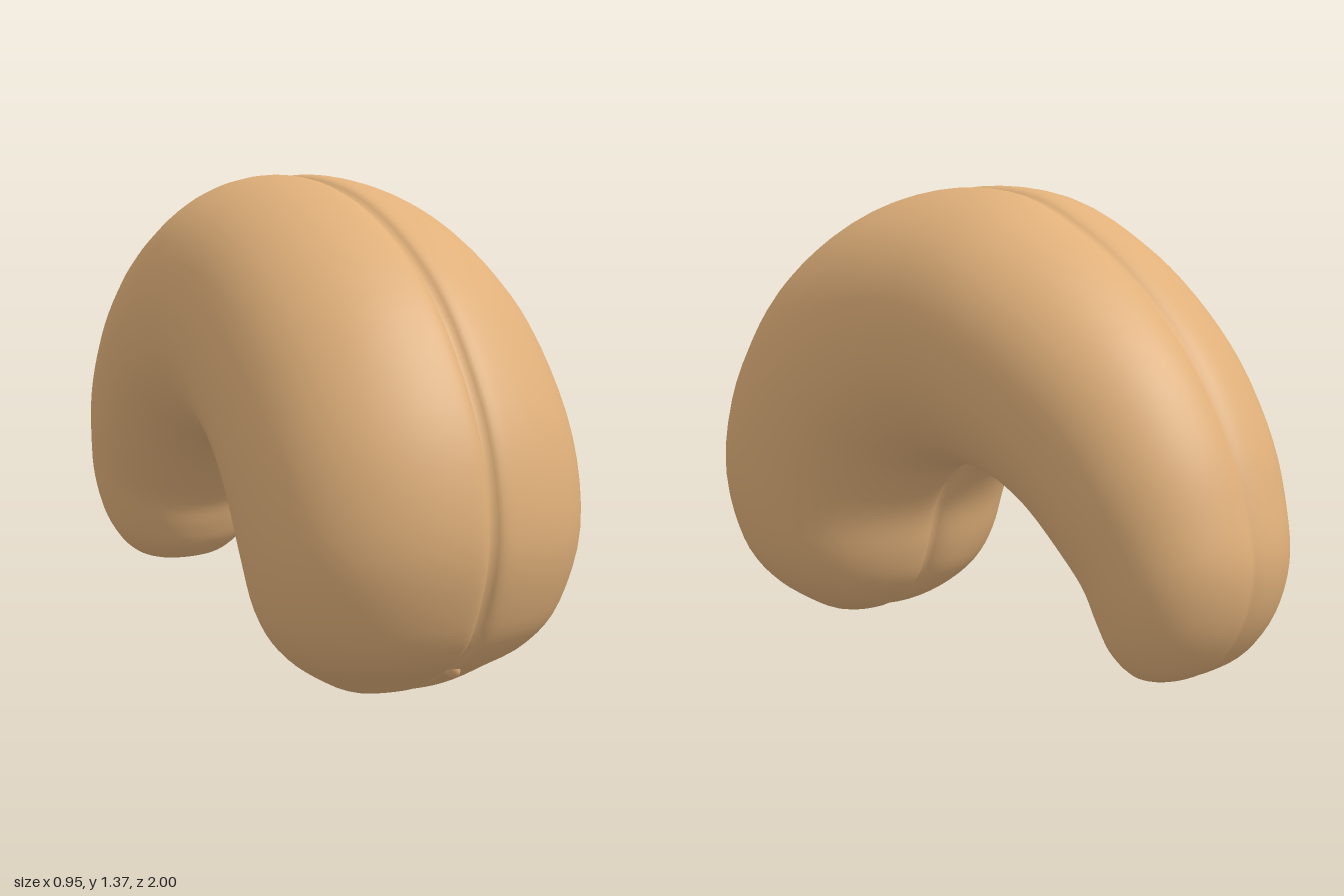
import * as THREE from 'three';
import { mergeVertices } from 'three/addons/utils/BufferGeometryUtils.js';

// Cross-sections from the front tip, over the arch, to the back tip:
// [outer z, outer y, inner z, inner y, half width]
const SECTIONS = [
  [0.59, -0.005, 0.59, -0.005, 0],
  [0.66, 0.012, 0.52, 0.0, 0.15],
  [0.76, 0.07, 0.42, 0.05, 0.265],
  [0.87, 0.14, 0.33, 0.13, 0.36],
  [0.95, 0.25, 0.28, 0.23, 0.425],
  [1.005, 0.47, 0.245, 0.35, 0.465],
  [0.955, 0.74, 0.195, 0.435, 0.475],
  [0.8, 1.0, 0.13, 0.505, 0.47],
  [0.62, 1.17, 0.07, 0.54, 0.46],
  [0.38, 1.3, 0.02, 0.555, 0.445],
  [0.12, 1.36, -0.04, 0.562, 0.43],
  [-0.15, 1.355, -0.1, 0.562, 0.415],
  [-0.38, 1.27, -0.18, 0.55, 0.4],
  [-0.58, 1.15, -0.27, 0.522, 0.38],
  [-0.77, 0.98, -0.36, 0.47, 0.355],
  [-0.905, 0.78, -0.45, 0.395, 0.33],
  [-0.975, 0.6, -0.53, 0.31, 0.3],
  [-1.005, 0.45, -0.565, 0.23, 0.275],
  [-0.975, 0.3, -0.6, 0.165, 0.24],
  [-0.9, 0.18, -0.65, 0.122, 0.185],
  [-0.82, 0.12, -0.69, 0.102, 0.115],
  [-0.755, 0.095, -0.755, 0.095, 0],
];
const ROWS = 84, COLS = 80;

function nutGeometry() {
  const curve = (f) => new THREE.CatmullRomCurve3(SECTIONS.map(f), false, 'catmullrom', 0.5);
  const outer = curve((s) => new THREE.Vector3(s[4], s[1], s[0]));
  const inner = curve((s) => new THREE.Vector3(0, s[3], s[2]));
  const positions = [], indices = [];
  const squash = (v) => Math.sign(v) * Math.abs(v) ** 0.93;

  for (let i = 0; i <= ROWS; i++) {
    const u = i / ROWS;
    const o = outer.getPoint(u), n = inner.getPoint(u);
    const w = Math.max(0, o.x);
    o.x = 0;
    const mid = o.clone().add(n).multiplyScalar(0.5);
    const half = o.sub(n).multiplyScalar(0.5);
    const length = half.length() || 1;
    const fade = Math.min(1, w / 0.35);
    const back = THREE.MathUtils.smoothstep(u, 0.45, 0.75);
    for (let j = 0; j < COLS; j++) {
      // crowd the columns around the two creases
      const t = (j / COLS) * Math.PI * 2;
      const a = t - 0.35 * Math.sin(2 * t);
      const x = w * squash(Math.sin(a));
      const c = squash(Math.cos(a));
      // sharp seam outside, shallow and wide at the back; inner fold dies out at the back
      const depth = c > 0 ? 0.028 - 0.008 * back : 0.045 * (1 - back);
      const width = c > 0 ? 0.014 + 0.03 * back : 0.035;
      const groove = depth * fade * Math.exp(-Math.abs(x) / width);
      const k = c - Math.sign(c) * groove / length;
      positions.push(x, mid.y + half.y * k, mid.z + half.z * k);
      if (i < ROWS) {
        const p = i * COLS + j, q = i * COLS + (j + 1) % COLS;
        indices.push(p, q, p + COLS, q, q + COLS, p + COLS);
      }
    }
  }
  let geometry = new THREE.BufferGeometry();
  geometry.setAttribute('position', new THREE.Float32BufferAttribute(positions, 3));
  geometry.setIndex(indices);
  geometry = mergeVertices(geometry, 1e-5);
  geometry.computeVertexNormals();
  return geometry;
}

export function createModel() {
  const group = new THREE.Group();
  group.name = 'cashewNut';
  const tan = new THREE.MeshStandardMaterial({ color: 0xe0b07a });
  tan.name = 'roastedTan';

  const kernel = new THREE.Mesh(nutGeometry(), tan);
  kernel.name = 'kernel';
  group.add(kernel);

  // small bud tucked in the seam at the front tip
  const germ = new THREE.Mesh(new THREE.SphereGeometry(1, 20, 14), tan);
  germ.name = 'germ';
  germ.scale.set(0.022, 0.035, 0.035);
  germ.position.set(0.025, 0.1, 0.775);
  germ.rotation.z = 0.35;
  group.add(germ);
  return group;
}
